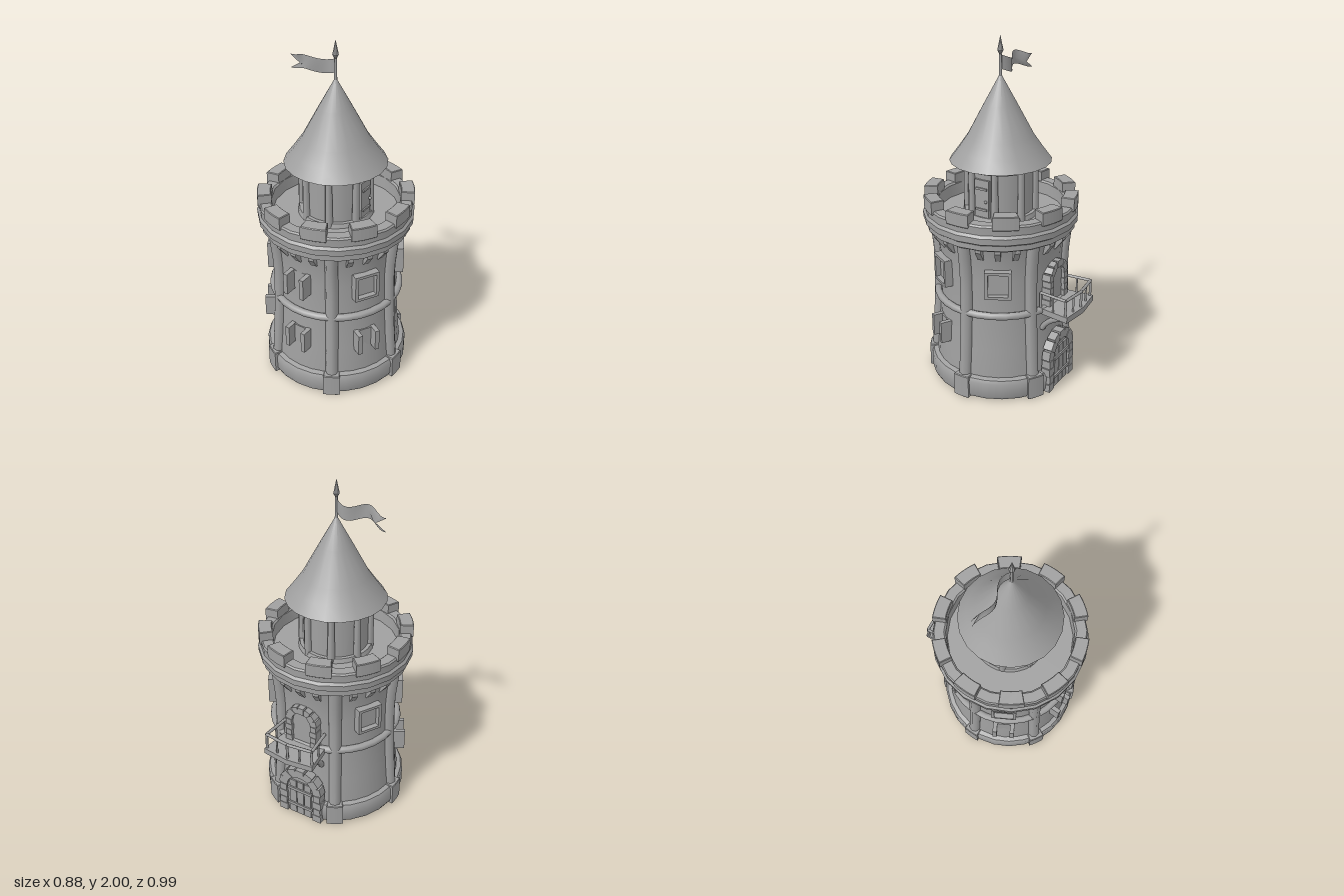
import * as THREE from 'three';
import { toCreasedNormals } from 'three/addons/utils/BufferGeometryUtils.js';

const stone = new THREE.MeshStandardMaterial({ color: 0xa0a0a0, side: THREE.DoubleSide });
stone.name = 'grey stone';
const V = (x, y, z) => new THREE.Vector3(x, y, z);
const rad = THREE.MathUtils.degToRad;

function add(parent, name, geo, x = 0, y = 0, z = 0, rz = 0) {
  const m = new THREE.Mesh(geo, stone);
  m.name = name;
  m.position.set(x, y, z);
  m.rotation.z = rz;
  parent.add(m);
  return m;
}
const box = (w, h, d) => new THREE.BoxGeometry(w, h, d);
function lathe(pts, seg, start = 0, len = Math.PI * 2) {
  const g = new THREE.LatheGeometry(pts.map(p => new THREE.Vector2(p[0], p[1])), seg, start, len);
  return toCreasedNormals(g, 0.6);
}
function rod(parent, name, a, b, r) {
  add(parent, name, new THREE.TubeGeometry(new THREE.LineCurve3(a, b), 1, r, 6));
}
// group whose local +z points outward; angle runs from +x towards +z
function sector(parent, name, deg) {
  const g = new THREE.Group();
  g.name = name;
  g.rotation.y = Math.PI / 2 - rad(deg);
  parent.add(g);
  return g;
}
// block of a ring, centred on local +z
function arcBlock(r0, r1, halfDeg, h) {
  const s = new THREE.Shape(), h2 = rad(halfDeg), c = -Math.PI / 2;
  s.absarc(0, 0, r1, c - h2, c + h2, false);
  s.absarc(0, 0, r0, c + h2, c - h2, true);
  const g = new THREE.ExtrudeGeometry(s, { depth: h, curveSegments: 3, bevelEnabled: true, bevelSize: 0.004, bevelThickness: 0.004, bevelSegments: 1 });
  return g.rotateX(-Math.PI / 2);
}
// arched door leaf with stone surround
function archDoor(p, name, y0, spring, r, z, size, depth) {
  const s = new THREE.Shape();
  s.moveTo(-r, y0).lineTo(r, y0).lineTo(r, spring).absarc(0, spring, r, 0, Math.PI, false);
  add(p, name + 'Leaf', new THREE.ExtrudeGeometry(s, { depth: 0.04, bevelEnabled: false }), 0, 0, z - depth / 2);
  const rows = Math.round((spring - y0) / size);
  const h = (spring - y0) / rows;
  for (const sx of [-1, 1]) for (let i = 0; i < rows; i++)
    add(p, name + 'JambStone', box(size * (i % 2 ? 0.85 : 1), h * 0.93, depth), sx * r, y0 + h * (i + 0.5), z);
  const n = 7;
  for (let i = 0; i < n; i++) {
    const a = Math.PI * (i + 0.5) / n;
    add(p, name + 'ArchStone', box(size, Math.PI * r / n * 1.02, depth * (i % 2 ? 1 : 0.9)),
      Math.cos(a) * r, spring + Math.sin(a) * r, z, a);
  }
}

export function createModel() {
  const model = new THREE.Group();
  model.name = 'castleTower';
  const tower = new THREE.Group();
  tower.name = 'tower';
  tower.position.z = 0.045;
  model.add(tower);

  // base ring, left open at the back for the door
  const gap = 0.28;
  add(tower, 'base', lathe([[0.36, 0.01], [0.41, 0.01], [0.42, 0.03], [0.42, 0.11], [0.41, 0.13], [0.37, 0.14]], 24, Math.PI + gap, Math.PI * 2 - 2 * gap));
  add(tower, 'underside', new THREE.CylinderGeometry(0.4, 0.4, 0.01, 24), 0, 0.015, 0);

  // walls
  add(tower, 'walls', lathe([[0.385, 0.01], [0.383, 0.14], [0.367, 0.3], [0.355, 0.5], [0.35, 0.72], [0.358, 0.86], [0.38, 0.95]], 30));
  const band = add(tower, 'band', new THREE.TorusGeometry(0.37, 0.021, 8, 30), 0, 0.525, 0);
  band.rotation.x = Math.PI / 2;

  // pillars with foot clamps, floor beams and corbels
  for (let i = 0; i < 6; i++) {
    const g = sector(tower, 'pillarBay', i * 60);
    const path = new THREE.CatmullRomCurve3([V(0, 0.1, 0.385), V(0, 0.3, 0.37), V(0, 0.53, 0.357), V(0, 0.75, 0.355), V(0, 0.95, 0.375)]);
    add(g, 'pillar', new THREE.TubeGeometry(path, 10, 0.036, 8));
    add(g, 'footClamp', arcBlock(0.36, 0.428, 6, 0.132), 0, 0.005, 0);
    add(g, 'floorBeam', box(0.05, 0.02, 0.41), 0, 0.01, 0.205);
    for (const d of [15, 30, 45]) {
      const c = sector(tower, 'corbelBay', i * 60 + d);
      const s = new THREE.Shape();
      s.moveTo(0.34, 0.86).lineTo(0.365, 0.86).lineTo(0.41, 0.92).lineTo(0.41, 0.95).lineTo(0.34, 0.95);
      const geo = new THREE.ExtrudeGeometry(s, { depth: 0.032, bevelEnabled: false });
      add(c, 'corbel', geo.translate(0, 0, -0.016).rotateY(-Math.PI / 2));
    }
  }

  // parapet, walkway and battlements
  add(tower, 'parapet', lathe([[0.35, 0.945], [0.41, 0.935], [0.425, 0.945], [0.425, 0.975], [0.44, 0.985], [0.442, 1.02], [0.43, 1.035], [0.432, 1.08], [0.425, 1.09], [0.37, 1.09], [0.36, 1.08], [0.355, 1.01], [0, 1.01]], 20));
  for (let i = 0; i < 10; i++)
    add(sector(tower, 'battlement', i * 36), 'merlon', arcBlock(0.364, 0.433, 8.8, 0.07), 0, 1.07, 0);

  // turret with posts and a small door on the +x side
  add(tower, 'turretWall', new THREE.CylinderGeometry(0.185, 0.185, 0.32, 24), 0, 1.16, 0);
  add(tower, 'turretFoot', new THREE.CylinderGeometry(0.205, 0.215, 0.03, 24), 0, 1.02, 0);
  add(tower, 'turretCollar', new THREE.CylinderGeometry(0.22, 0.215, 0.035, 24), 0, 1.307, 0);
  for (let i = 0; i < 8; i++)
    add(sector(tower, 'turretBay', 22.5 + i * 45), 'turretPost', new THREE.CylinderGeometry(0.018, 0.022, 0.3, 8), 0, 1.16, 0.193);
  const td = sector(tower, 'turretDoor', 0);
  add(td, 'turretDoorLeaf', box(0.09, 0.24, 0.02), 0, 1.13, 0.185);
  for (const y of [1.08, 1.2]) add(td, 'doorHinge', box(0.07, 0.012, 0.01), 0, y, 0.198);
  add(td, 'doorKnob', new THREE.SphereGeometry(0.009, 8, 6), 0.03, 1.13, 0.203);

  // roof, pole and finial
  add(tower, 'roof', lathe([[0.19, 1.325], [0.285, 1.318], [0.235, 1.385], [0.183, 1.46], [0.09, 1.635], [0, 1.8]], 20));
  add(tower, 'pole', new THREE.CylinderGeometry(0.007, 0.009, 0.16, 8), 0, 1.84, 0);
  add(tower, 'finial', lathe([[0, 1.895], [0.007, 1.9], [0.017, 1.92], [0, 2]], 8));

  // waving swallow-tailed flag
  const flag = new THREE.PlaneGeometry(0.3, 0.08, 16, 2);
  const p = flag.attributes.position;
  for (let i = 0; i < p.count; i++) {
    const t = 0.5 - p.getX(i) / 0.3, v = p.getY(i) / 0.04;
    const x = -0.3 * t + (v === 0 ? 0.06 * t * t * t : 0);
    const y = 1.85 - 0.02 * t + v * 0.038 + 0.013 * Math.sin(t * 9 + 2.4);
    p.setXYZ(i, x, y, -0.03 * Math.sin(t * 8) * (1 - 0.4 * t));
  }
  flag.computeVertexNormals();
  add(tower, 'flag', flag);

  // large framed windows
  for (const a of [30, 150, 210, 330]) {
    const w = sector(tower, 'framedWindow', a);
    add(w, 'windowPane', box(0.12, 0.14, 0.03), 0, 0.72, 0.345);
    for (const s of [-1, 1]) {
      add(w, 'windowJamb', box(0.018, 0.16, 0.06), s * 0.064, 0.72, 0.36);
      add(w, 'windowRail', box(0.14, 0.016, 0.06), 0, 0.72 + s * 0.073, 0.36);
    }
  }
  // narrow windows with shutters standing open
  for (const [a, y] of [[90, 0.72], [90, 0.35], [30, 0.35], [150, 0.35]]) {
    const w = sector(tower, 'shutteredWindow', a);
    add(w, 'windowPane', box(0.09, 0.12, 0.02), 0, y, y < 0.5 ? 0.356 : 0.343);
    for (const s of [-1, 1]) add(w, 'shutter', box(0.026, 0.13, 0.08), s * 0.053, y, 0.38);
  }

  // back entrance
  const back = sector(tower, 'backSide', 270);
  archDoor(back, 'entrance', 0.005, 0.21, 0.115, 0.39, 0.055, 0.055);
  for (const x of [-0.05, 0, 0.05]) add(back, 'doorPlank', box(0.044, 0.25, 0.012), x, 0.135, 0.405);
  for (const y of [0.08, 0.2]) add(back, 'doorStrap', box(0.17, 0.02, 0.01), 0, y, 0.414);
  archDoor(back, 'balconyDoor', 0.54, 0.69, 0.08, 0.358, 0.042, 0.06);

  // balcony floor, curved brackets and railing
  const deck = new THREE.Shape();
  deck.moveTo(-0.135, -0.33).lineTo(-0.158, -0.525).lineTo(0, -0.545).lineTo(0.158, -0.525).lineTo(0.135, -0.33);
  add(back, 'balconyFloor', new THREE.ExtrudeGeometry(deck, { depth: 0.035, bevelEnabled: false }).rotateX(-Math.PI / 2), 0, 0.505, 0);
  for (const s of [-1, 1]) {
    const c = new THREE.QuadraticBezierCurve3(V(s * 0.11, 0.4, 0.345), V(s * 0.115, 0.475, 0.38), V(s * 0.12, 0.51, 0.49));
    add(back, 'balconyBracket', new THREE.TubeGeometry(c, 8, 0.017, 6));
  }
  const rail = [V(-0.132, 0.635, 0.345), V(-0.148, 0.635, 0.51), V(0, 0.635, 0.528), V(0.148, 0.635, 0.51), V(0.132, 0.635, 0.345)];
  for (let i = 0; i < 4; i++) {
    rod(back, 'handRail', rail[i], rail[i + 1], 0.009);
    for (const t of [0, 0.5]) {
      const q = rail[i].clone().lerp(rail[i + 1], t);
      rod(back, 'railPost', V(q.x, 0.535, q.z), q, t ? 0.006 : 0.008);
    }
  }
  return model;
}
